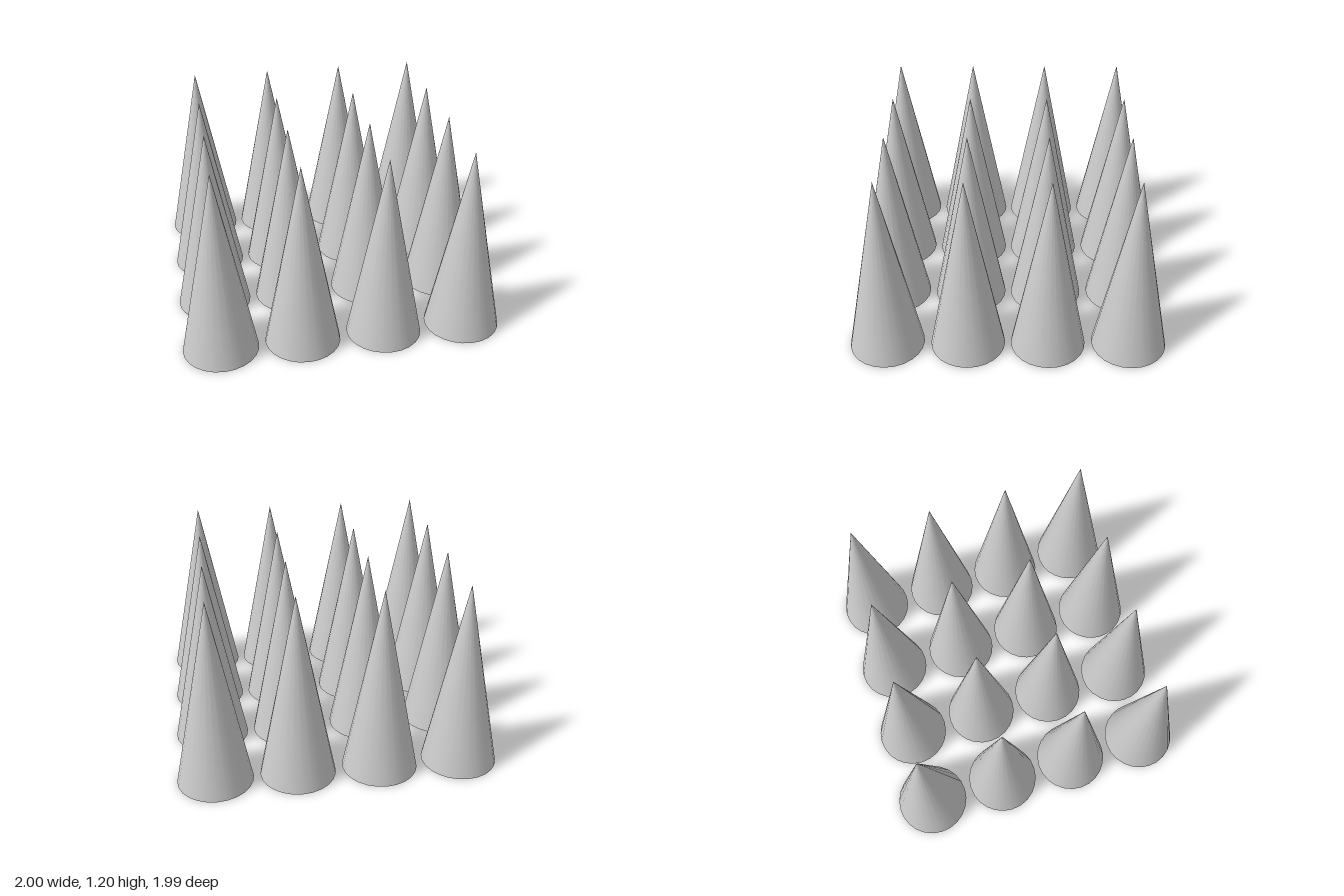
import * as THREE from 'three';

// A four by four grid of tall, smooth cones with closed bases
export function createModel() {
  const model = new THREE.Group();
  model.name = 'coneGrid';
  const material = new THREE.MeshStandardMaterial({ color: 0xcccccc });
  const radius = 0.234, height = 1.2;
  const geometry = new THREE.ConeGeometry(radius, height, 24);
  geometry.rotateY(Math.PI / 2);
  geometry.translate(0, height / 2, 0); // base on the ground

  const columns = [-0.766, -0.257, 0.257, 0.766];
  const rows = [-0.762, -0.252, 0.252, 0.762];
  rows.forEach((z, r) => {
    const row = new THREE.Group();
    row.name = `coneRow${r + 1}`;
    row.position.z = z;
    columns.forEach((x, c) => {
      const cone = new THREE.Mesh(geometry, material);
      cone.name = `cone${r + 1}_${c + 1}`;
      cone.position.x = x;
      row.add(cone);
    });
    model.add(row);
  });
  return model;
}
